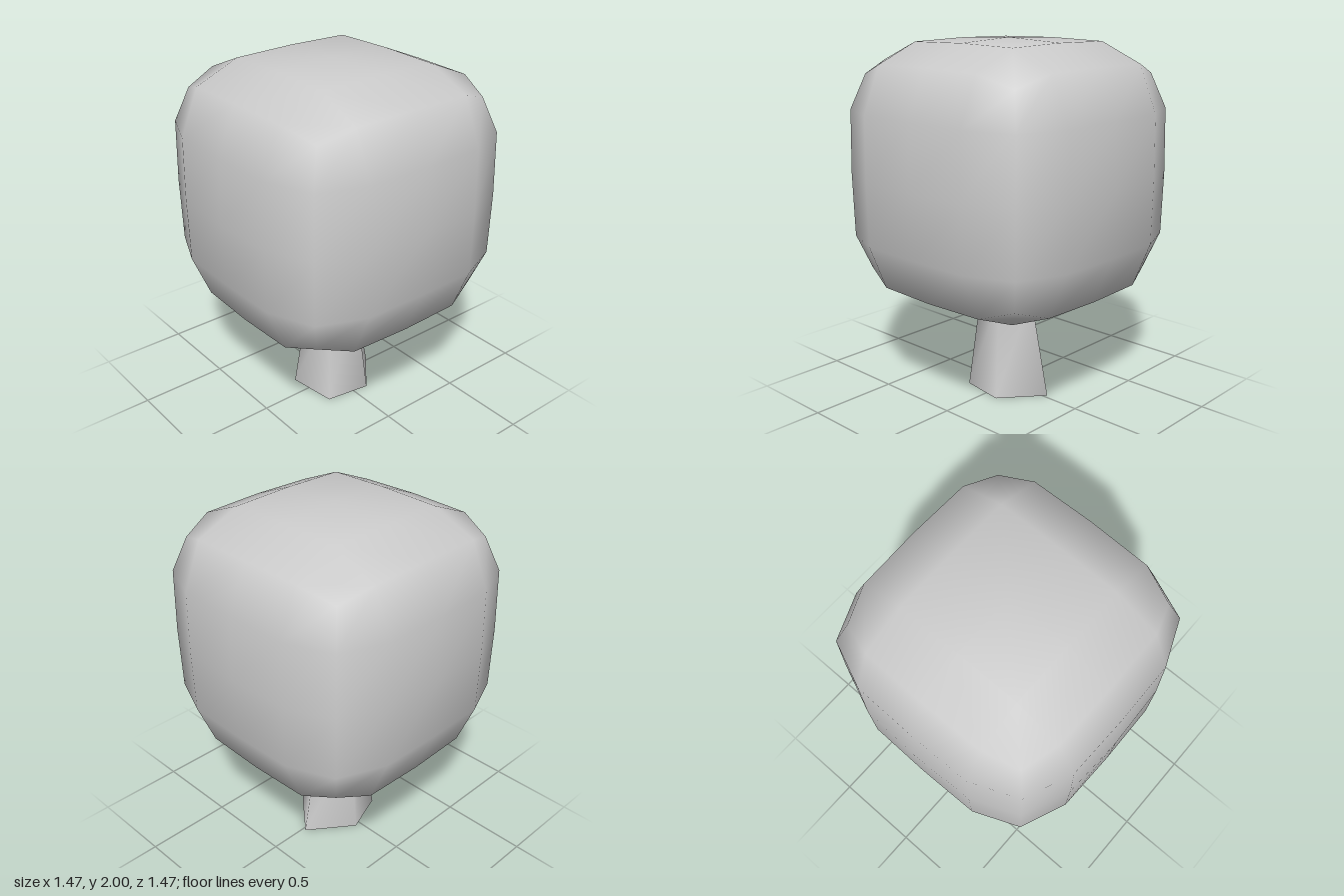
import * as THREE from 'three';
import { mergeVertices } from 'three/addons/utils/BufferGeometryUtils.js';

const material = new THREE.MeshStandardMaterial({ color: 0xcccccc });

// Soft, pillowy cube: a 4x4x4 grid whose faces bulge and whose edges are pulled in
function crownGeometry(centerY) {
  const box = new THREE.BoxGeometry(4, 4, 4, 4, 4, 4);
  box.deleteAttribute('uv');
  box.deleteAttribute('normal');
  const geo = mergeVertices(box);
  const pos = geo.attributes.position;
  const bulge = [0.735, 0.72, 0.713]; // face centre, face middle line, face quarter
  const edge = [0.613, 0.607]; // middle of an edge, quarter of an edge
  for (let i = 0; i < pos.count; i++) {
    const p = [pos.getX(i), pos.getY(i), pos.getZ(i)].map(Math.round);
    const outer = p.filter((v) => Math.abs(v) === 2).length;
    const quarters = p.filter((v) => Math.abs(v) === 1).length;
    let reach = outer === 1 ? bulge[quarters] : outer === 2 ? edge[quarters] : 0.545;
    if (outer === 1 && p[1] === -2) reach = 0.71; // flat underside
    const [x, y, z] = p.map((v) => Math.sign(v) * (Math.abs(v) === 2 ? reach : Math.abs(v) * 0.354));
    pos.setXYZ(i, x, y + centerY, z);
  }
  geo.computeVertexNormals();
  return geo;
}

// Tapered five-sided trunk: cylinder corners moved onto two uneven rings of [x, z]
function trunkGeometry(height) {
  const base = [[0.165, 0.165], [0.205, -0.09], [-0.02, -0.28], [-0.205, -0.035], [-0.115, 0.206]];
  const top = [[0.11, 0.115], [0.142, -0.055], [-0.01, -0.162], [-0.145, -0.025], [-0.075, 0.128]];
  const cylinder = new THREE.CylinderGeometry(1, 1, height, 5);
  cylinder.deleteAttribute('uv');
  const geo = mergeVertices(cylinder);
  const pos = geo.attributes.position;
  for (let i = 0; i < pos.count; i++) {
    const x = pos.getX(i), z = pos.getZ(i), y = pos.getY(i);
    const corner = (Math.round(Math.atan2(x, z) / (Math.PI * 0.4)) + 5) % 5;
    const ring = y > 0 ? top : base;
    const [rx, rz] = Math.hypot(x, z) < 0.5 ? [0, 0] : ring[corner];
    pos.setXYZ(i, rx, y + height / 2, rz);
  }
  geo.computeVertexNormals();
  return geo;
}

export function createModel() {
  const tree = new THREE.Group();
  tree.name = 'tree';

  const crown = new THREE.Mesh(crownGeometry(1.265), material);
  crown.name = 'crown';

  const trunk = new THREE.Mesh(trunkGeometry(0.57), material);
  trunk.name = 'trunk';

  tree.add(crown, trunk);
  return tree;
}
